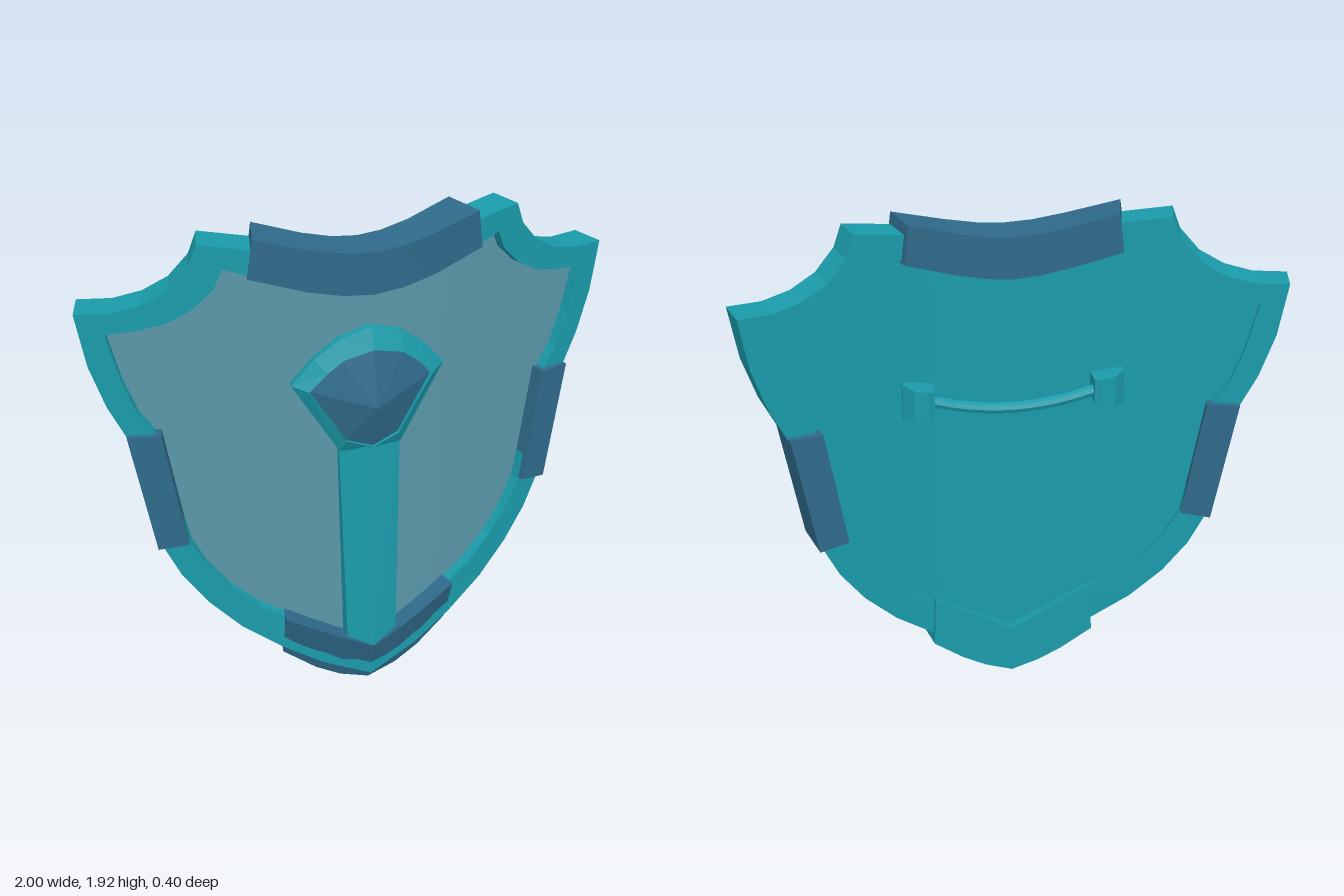
import * as THREE from 'three';
import { ConvexGeometry } from 'three/addons/geometries/ConvexGeometry.js';

const paint = (color) => new THREE.MeshStandardMaterial({ color, flatShading: true });
const teal = paint(0x1a9baa), blue = paint(0x2f6a8a), slate = paint(0x5a97a8);

// Curved front of the shield: rounded in the middle, straight wings
const HALF = 0.42, SLOPE = 0.267;
function bend([x, y], d) {
  const a = Math.abs(x);
  const z = 0.14 - (a < HALF ? (SLOPE * a * a) / (2 * HALF) : SLOPE * (a - HALF / 2));
  const s = SLOPE * Math.max(-1, Math.min(1, x / HALF));
  const n = Math.hypot(s, 1);
  return [x + (s / n) * d, y, z + d / n];
}

// Solid strip between two outlines that run clockwise; depths are measured from the rim front
function band(outer, inner, frontOuter, frontInner, back) {
  const pos = [];
  const quad = (a, b, c, d) => pos.push(...a, ...b, ...c, ...a, ...c, ...d);
  const rings = outer.map((p, i) => [
    bend(p, frontOuter), bend(inner[i], frontInner), bend(inner[i], back), bend(p, back),
  ]);
  for (let i = 0; i < rings.length - 1; i++) {
    const r = rings[i], s = rings[i + 1];
    for (let k = 0; k < 4; k++) {
      const m = (k + 1) % 4;
      quad(r[k], r[m], s[m], s[k]);
    }
  }
  const first = rings[0], last = rings[rings.length - 1];
  quad(first[3], first[2], first[1], first[0]);
  quad(...last);
  const g = new THREE.BufferGeometry();
  g.setAttribute('position', new THREE.Float32BufferAttribute(pos, 3));
  g.computeVertexNormals();
  return g;
}

const flip = (list) => list.map(([x, y]) => [-x, y]).reverse();
// Half outlines that start (or end) on the centre line
const fromTop = (list) => [...flip(list), ...list.slice(1)];
const fromSide = (list) => [...list, ...flip(list).slice(1)];

function heightAt(line, x) {
  for (let i = 0; i < line.length - 1; i++) {
    const [x0, y0] = line[i], [x1, y1] = line[i + 1];
    if (x >= x0 && x <= x1) return y0 + ((y1 - y0) * (x - x0)) / (x1 - x0);
  }
  return line[line.length - 1][1];
}

const rimOuter = [[0, 1.82], [0.2, 1.84], [0.42, 1.885], [0.59, 1.91], [0.62, 1.83], [0.69, 1.75],
  [0.78, 1.7], [0.88, 1.675], [1, 1.675], [0.97, 1.48], [0.92, 1.32], [0.85, 1.17], [0.815, 0.95],
  [0.765, 0.72], [0.71, 0.6], [0.62, 0.47], [0.5, 0.345], [0.35, 0.235], [0.2, 0.14], [0, 0.04]];
const rimInner = [[0, 1.72], [0.2, 1.74], [0.42, 1.79], [0.51, 1.82], [0.54, 1.75], [0.61, 1.68],
  [0.7, 1.63], [0.79, 1.61], [0.905, 1.595], [0.865, 1.42], [0.82, 1.29], [0.745, 1.17], [0.71, 0.95],
  [0.67, 0.74], [0.62, 0.64], [0.54, 0.53], [0.44, 0.44], [0.31, 0.36], [0.17, 0.28], [0, 0.2]];

export function createModel() {
  const group = new THREE.Group();
  const add = (name, geometry, material) => {
    const mesh = new THREE.Mesh(geometry, material);
    mesh.name = name;
    group.add(mesh);
    return mesh;
  };
  const hull = (points) => new ConvexGeometry(points.map((p) => new THREE.Vector3(...p)));

  // Raised rim
  add('rim', band(fromTop(rimOuter), fromTop(rimInner), 0, 0, -0.135), teal);

  // Panel, split into columns wherever the rim has a corner
  const upper = rimInner.slice(0, 9), lower = rimInner.slice(8).reverse();
  const columns = [...new Set([...rimInner.map((p) => p[0]), 0.08, 0.25, 0.37])].sort((a, b) => a - b);
  const top = fromTop(columns.map((x) => [x, heightAt(upper, x)]));
  const bottom = fromTop(columns.map((x) => [x, heightAt(lower, x)]));
  add('frontPanel', band(top, bottom, -0.04, -0.04, -0.06), slate);
  add('backPanel', band(top, bottom, -0.06, -0.06, -0.115), teal);

  // Top brace
  add('topBrace', band(
    fromTop([[0, 1.845], [0.1, 1.852], [0.22, 1.875], [0.41, 1.925]]),
    fromTop([[0, 1.69], [0.11, 1.7], [0.23, 1.725], [0.43, 1.785]]),
    0.012, 0.012, -0.162), blue);

  // Bottom brace: bevelled front plate over a thick backing
  const braceOuter = fromSide([[0.35, 0.19], [0.22, 0.095], [0.12, 0.042], [0, 0.003]]);
  const braceInner = fromSide([[0.34, 0.39], [0.22, 0.322], [0.12, 0.265], [0, 0.2]]);
  add('bottomBracePlate', band(braceOuter, braceInner, -0.03, 0.035, -0.045), blue);
  add('bottomBraceBacking', band(braceOuter, braceInner, -0.045, -0.045, -0.15), teal);

  // Side braces
  const sideOuter = [[0.862, 1.205], [0.785, 0.73]], sideInner = [[0.745, 1.205], [0.675, 0.745]];
  add('leftBrace', band(sideOuter, sideInner, 0.02, 0.02, -0.16), blue);
  add('rightBrace', band(flip(sideOuter), flip(sideInner), 0.02, 0.02, -0.16), blue);

  // Central ridge, slightly peaked along the middle
  const section = (y, w, z) => [[0, y, z], [w, y, z - 0.022], [-w, y, z - 0.022], [w, y, 0.07], [-w, y, 0.07]];
  add('centralRidge', hull([...section(0.2, 0.1, 0.172), ...section(1.12, 0.12, 0.135)]), teal);

  // Gem setting
  const settingOuter = fromTop([[0, 1.56], [0.12, 1.525], [0.21, 1.46], [0.295, 1.365], [0.12, 1.08], [0, 1.075]]);
  const settingInner = fromTop([[0, 1.48], [0.11, 1.455], [0.17, 1.41], [0.235, 1.345], [0.1, 1.13], [0, 1.09]]);
  add('gemSetting', band(settingOuter, settingInner, -0.012, 0.015, -0.06), teal);

  // Faceted gem
  const girdle = [[0, 1.48], [0.12, 1.455], [0.23, 1.34], [0.1, 1.13], [0, 1.095]];
  const gem = [[0, 1.27, 0.2]];
  for (const [x, y] of girdle) {
    for (const s of x ? [-1, 1] : [1]) {
      gem.push([s * x, y, 0.15 - 0.12 * x], [s * x, y, 0.08]);
    }
  }
  add('gem', hull(gem), blue);

  // Hand grip on the back with its two mounts
  const grip = new THREE.CatmullRomCurve3([[-0.33, 1.26], [-0.18, 1.222], [0, 1.205], [0.18, 1.222], [0.33, 1.26]]
    .map(([x, y]) => new THREE.Vector3(x, y, -0.05)));
  add('grip', new THREE.TubeGeometry(grip, 12, 0.022, 8), teal);
  for (const s of [-1, 1]) {
    const mount = [];
    for (const k of [-1, 1]) {
      mount.push([s * 0.295, 1.26 + k * 0.045, 0.02], [s * 0.295, 1.26 + k * 0.045, -0.085],
        [s * 0.32, 1.26 + k * 0.05, -0.1], [s * 0.37, 1.26 + k * 0.06, -0.098],
        [s * 0.41, 1.26 + k * 0.07, -0.06], [s * 0.41, 1.26 + k * 0.07, 0.02]);
    }
    add(s > 0 ? 'leftGripMount' : 'rightGripMount', hull(mount), teal);
  }
  return group;
}
